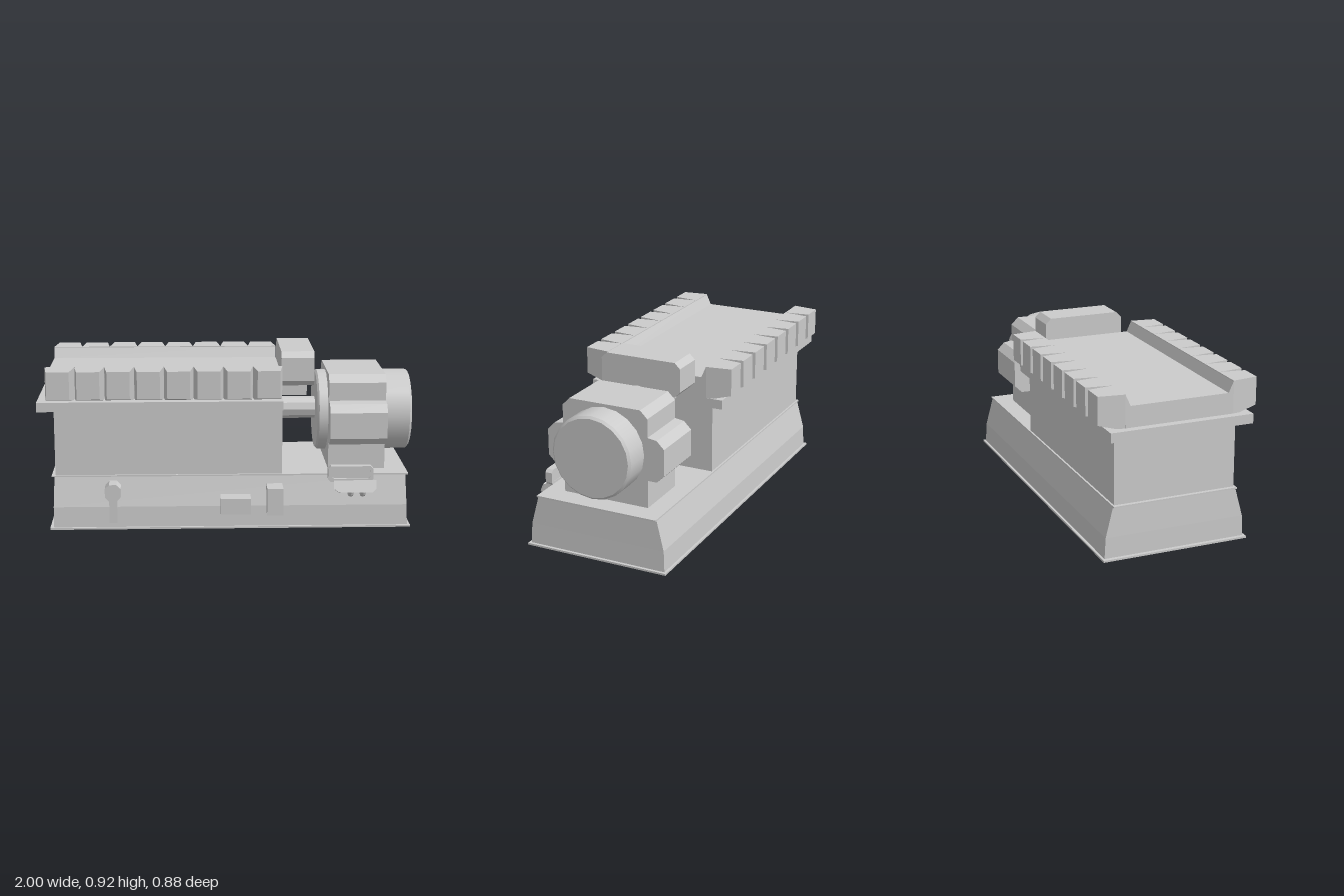
import * as THREE from 'three';

const material = new THREE.MeshStandardMaterial({ color: 0xcccccc, flatShading: true, side: THREE.DoubleSide });
const smooth = new THREE.MeshStandardMaterial({ color: 0xcccccc });

function add(parent, name, geometry, mat = material) {
  const mesh = new THREE.Mesh(geometry, mat);
  mesh.name = name;
  parent.add(mesh);
  return mesh;
}

// box from its minimum and maximum corners
function box(parent, name, [x0, y0, z0], [x1, y1, z1]) {
  const mesh = add(parent, name, new THREE.BoxGeometry(x1 - x0, y1 - y0, z1 - z0));
  mesh.position.set((x0 + x1) / 2, (y0 + y1) / 2, (z0 + z1) / 2);
  return mesh;
}

const shapeOf = (points) => new THREE.Shape(points.map(([x, y]) => new THREE.Vector2(x, y)));

// extrude a [z, y] outline from x0 to x1
function alongX(points, x0, x1) {
  const geometry = new THREE.ExtrudeGeometry(shapeOf(points.map(([z, y]) => [-z, y])), { depth: x1 - x0, bevelEnabled: false });
  return geometry.rotateY(Math.PI / 2).translate(x0, 0, 0);
}

const mirrored = (half) => [...half, ...half.map(([z, y]) => [-z, y]).reverse()];

// rectangle with cut corners
function cutRect(x0, x1, y0, y1, c) {
  return [[x0 + c, y0], [x1 - c, y0], [x1, y0 + c], [x1, y1 - c], [x1 - c, y1], [x0 + c, y1], [x0, y1 - c], [x0, y0 + c]];
}

function plate(points, depth, hole) {
  const shape = shapeOf(points);
  if (hole) shape.holes.push(shapeOf(hole));
  return new THREE.ExtrudeGeometry(shape, { depth, bevelEnabled: false });
}

// walls through rectangular rings [y, x0, x1, halfZ]
function loft(rings) {
  const positions = [];
  const index = [];
  rings.forEach(([y, x0, x1, h]) => positions.push(x0, y, h, x1, y, h, x1, y, -h, x0, y, -h));
  for (let r = 0; r < rings.length - 1; r++) {
    for (let i = 0; i < 4; i++) {
      const a = r * 4 + i, b = r * 4 + (i + 1) % 4;
      index.push(a, b, b + 4, a, b + 4, a + 4);
    }
  }
  const geometry = new THREE.BufferGeometry();
  geometry.setAttribute('position', new THREE.Float32BufferAttribute(positions, 3));
  geometry.setIndex(index);
  const flat = geometry.toNonIndexed();
  flat.computeVertexNormals();
  return flat;
}

// drum along x with bevelled rims, smooth round the side
function drum(parent, name, radius, x0, x1, bevel, sides) {
  const group = new THREE.Group();
  group.name = name;
  const r = radius - bevel;
  const bands = [[0, x0, r, x0], [r, x0, radius, x0 + bevel], [radius, x0 + bevel, radius, x1 - bevel],
    [radius, x1 - bevel, r, x1], [r, x1, 0, x1]];
  bands.forEach(([ra, xa, rb, xb]) => {
    const geometry = new THREE.LatheGeometry([new THREE.Vector2(ra, xa), new THREE.Vector2(rb, xb)], sides);
    add(group, name + 'Band', geometry.rotateZ(-Math.PI / 2), smooth);
  });
  parent.add(group);
  return group;
}

function createBase(root) {
  const base = new THREE.Group();
  base.name = 'base';
  root.add(base);
  // hollow skirt, open underneath, with foot flange and lid
  add(base, 'skirt', loft([[0.005, -0.925, 0.96, 0.383], [0.12, -0.925, 0.955, 0.377], [0.28, -0.92, 0.95, 0.335]]));
  const foot = plate([[-0.945, -0.395], [0.975, -0.395], [0.975, 0.395], [-0.945, 0.395]], 0.01,
    [[-0.92, -0.38], [-0.92, 0.38], [0.955, 0.38], [0.955, -0.38]]);
  add(base, 'footFlange', foot.rotateX(-Math.PI / 2));
  box(base, 'lid', [-0.935, 0.275, -0.338], [0.965, 0.283, 0.338]);
}

function createEngine(root) {
  const engine = new THREE.Group();
  engine.name = 'engine';
  root.add(engine);
  box(engine, 'block', [-0.915, 0.28, -0.328], [0.29, 0.65, 0.328]);
  box(engine, 'deckFlange', [-1, 0.64, -0.382], [0.29, 0.69, 0.382]);
  // dished top deck between the two head rows
  add(engine, 'deck', alongX(mirrored([[0.29, 0.69], [0.29, 0.86], [0.262, 0.8]]), -0.96, 0.29));

  // cylinder heads, narrowing outwards, one row per side
  const pitch = 1.25 / 8;
  const head = alongX([[0.288, 0.69], [0.33, 0.69], [0.425, 0.715], [0.425, 0.86], [0.288, 0.86]], -pitch / 2, pitch / 2);
  const p = head.attributes.position;
  for (let i = 0; i < p.count; i++) {
    const t = (p.getZ(i) - 0.288) / 0.137;
    p.setX(i, p.getX(i) * (1 - 0.24 * t));
  }
  head.computeVertexNormals();
  for (const side of [0, Math.PI]) {
    for (let i = 0; i < 8; i++) {
      const mesh = add(engine, 'cylinderHead', head);
      mesh.position.x = -0.96 + pitch * (i + 0.5);
      mesh.rotation.y = side;
    }
  }
  // cooler housing across the end
  add(engine, 'cooler', alongX(cutRect(-0.226, 0.226, 0.735, 0.92, 0.03), 0.29, 0.465));
  box(engine, 'coolerMount', [0.29, 0.665, -0.12], [0.435, 0.74, 0.12]);
}

function createGenerator(root) {
  const generator = new THREE.Group();
  generator.name = 'generator';
  root.add(generator);
  add(generator, 'housing', alongX(mirrored([[0.238, 0.28], [0.238, 0.43], [0.288, 0.43], [0.328, 0.47],
    [0.328, 0.61], [0.288, 0.65], [0.238, 0.658], [0.238, 0.755], [0.198, 0.795]]), 0.545, 0.85));
  drum(generator, 'frontDrum', 0.22, 0.488, 0.56, 0.01, 20).position.y = 0.56;
  drum(generator, 'rearDrum', 0.22, 0.84, 0.998, 0.012, 20).position.y = 0.56;
  const shaft = add(generator, 'shaft', new THREE.CylinderGeometry(0.06, 0.06, 0.22, 10).rotateZ(Math.PI / 2));
  shaft.position.set(0.39, 0.57, 0);
}

function createFittings(root) {
  const fittings = new THREE.Group();
  fittings.name = 'fittings';
  root.add(fittings);
  // lever unit and wall boxes
  add(fittings, 'leverHead', plate(cutRect(-0.65, -0.567, 0.165, 0.255, 0.022), 0.09)).position.z = 0.34;
  box(fittings, 'leverStem', [-0.63, 0.035, 0.365], [-0.588, 0.18, 0.39]);
  box(fittings, 'wideBox', [-0.04, 0.095, 0.36], [0.12, 0.18, 0.452]);
  box(fittings, 'tallBox', [0.205, 0.09, 0.35], [0.29, 0.235, 0.457]);

  // control panel: framed display, slanted lip and two conduits
  const frame = plate(cutRect(0.53, 0.77, 0.255, 0.34, 0.015), 0.038, cutRect(0.552, 0.755, 0.272, 0.325, 0.01).reverse());
  add(fittings, 'panelFrame', frame).position.z = 0.365;
  box(fittings, 'panelScreen', [0.54, 0.265, 0.367], [0.76, 0.33, 0.39]);
  const lip = plate([[0.585, -0.065], [0.765, -0.065], [0.785, -0.045], [0.785, 0], [0.56, 0], [0.56, -0.045]], 0.008);
  const lipMesh = add(fittings, 'panelLip', lip);
  lipMesh.position.set(0, 0.262, 0.402);
  lipMesh.rotation.x = -0.42;
  for (const x of [0.655, 0.72]) {
    const path = new THREE.CatmullRomCurve3([[0.265, 0.385], [0.205, 0.385], [0.182, 0.375], [0.178, 0.345]]
      .map(([y, z]) => new THREE.Vector3(x, y, z)));
    add(fittings, 'conduit', new THREE.TubeGeometry(path, 10, 0.017, 8), material);
  }
}

export function createModel() {
  const model = new THREE.Group();
  model.name = 'generatorSet';
  const root = new THREE.Group();
  root.name = 'assembly';
  root.position.z = -0.017;
  model.add(root);
  createBase(root);
  createEngine(root);
  createGenerator(root);
  createFittings(root);
  return model;
}
